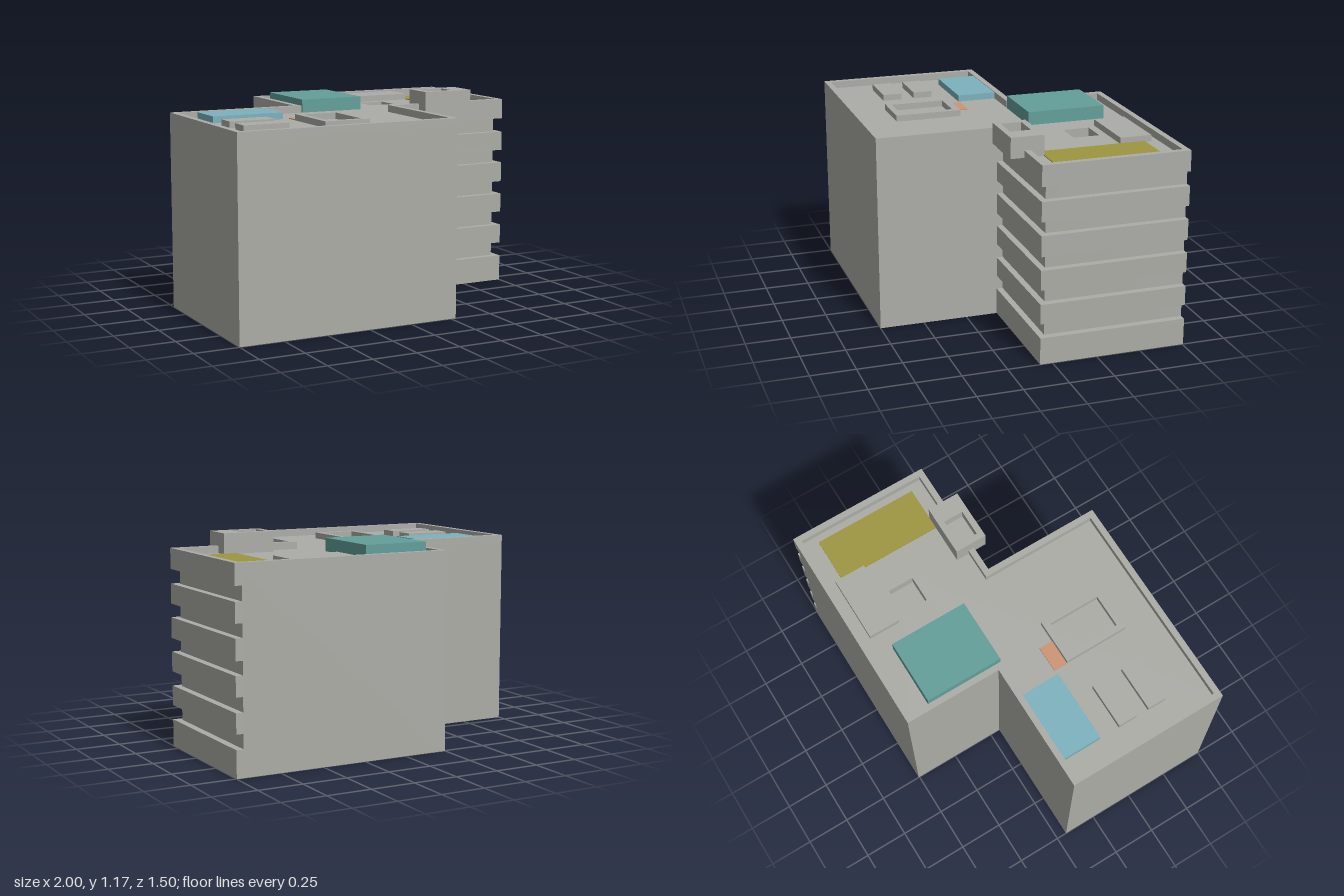
import * as THREE from 'three';

const ROOF = 1.06, TOP = 1.1;

const material = (name, color) => {
  const m = new THREE.MeshStandardMaterial({ color });
  m.name = name;
  return m;
};

// Plan points are [x, z]; prisms rise from y0 to y1, with optional holes.
const toPoints = (plan) => plan.map(([x, z]) => new THREE.Vector2(x, -z));
const rect = (x0, x1, z0, z1) => [[x0, z0], [x0, z1], [x1, z1], [x1, z0]];

function prism(plan, y0, y1, holes = []) {
  const shape = new THREE.Shape(toPoints(plan));
  holes.forEach((h) => shape.holes.push(new THREE.Path(toPoints(h))));
  const geo = new THREE.ExtrudeGeometry(shape, { depth: y1 - y0, bevelEnabled: false });
  geo.rotateX(-Math.PI / 2);
  geo.translate(0, y0, 0);
  return geo;
}

// Two overlapping wings; the inset shrinks the outline on every side.
const footprint = (inset, east = 1 - inset, south = 0.07 - inset) => [
  [-1 + inset, -0.19 + inset], [-1 + inset, 0.75 - inset],
  [0.28 - inset, 0.75 - inset], [0.28 - inset, south],
  [east, south], [east, -0.755 + inset],
  [-0.25 + inset, -0.755 + inset], [-0.25 + inset, -0.19 + inset],
];

export function createModel() {
  const concrete = material('concrete', 0xacaca7);
  const teal = material('teal', 0x639f9a);
  const blue = material('pale blue', 0x7cb2be);
  const olive = material('olive', 0x9e9641);
  const orange = material('orange', 0xcd9576);

  const model = new THREE.Group();
  model.name = 'building';
  const add = (name, geo, mat = concrete) => {
    const mesh = new THREE.Mesh(geo, mat);
    mesh.name = name;
    model.add(mesh);
  };

  // Main block with a sunken roof shaft
  const shaft = rect(0.315, 0.47, -0.455, -0.305);
  add('mainBlock', prism(footprint(0, 0.96, 0.035), 0, ROOF, [shaft]));
  add('shaftFloor', prism(shaft, 0, 1.0));

  // Projecting storey bands around the east wing
  const band = [[0.28, 0.035], [0.28, 0.07], [1, 0.07], [1, -0.755], [0.96, -0.755], [0.96, 0.035]];
  const storeys = [[0, 0.15], [0.23, 0.34], [0.42, 0.53], [0.605, 0.72], [0.795, 0.905], [0.985, ROOF]];
  storeys.forEach(([y0, y1], i) => add(`storeyBand${i + 1}`, prism(band, y0, y1)));

  // Roof parapet
  add('parapet', prism(footprint(0), ROOF, TOP, [footprint(0.035)]));

  // Coloured roof houses
  add('tealRoofHouse', prism(rect(-0.21, 0.165, -0.605, -0.155), ROOF, 1.135), teal);
  add('blueRoofHouse', prism(rect(-0.85, -0.435, -0.155, 0.07), ROOF, 1.097), blue);

  // Low grey roof units
  [[0.28, 0.66, -0.68, -0.5], [-0.85, -0.59, 0.19, 0.3], [-0.85, -0.59, 0.375, 0.485]]
    .forEach((r, i) => add(`roofUnit${i + 1}`, prism(rect(...r), ROOF, 1.095)));

  // Open curb
  add('skylightCurb', prism(rect(-0.4, -0.135, 0.15, 0.525), ROOF, 1.095,
    [rect(-0.365, -0.17, 0.19, 0.49)]));

  // Overhanging vent box with an open top
  const opening = rect(0.465, 0.62, -0.005, 0.11);
  add('ventBox', prism(rect(0.43, 0.73, -0.04, 0.145), ROOF, 1.175, [opening]));
  add('ventFloor', prism(opening, ROOF, 1.115));

  // Flat painted roof patches
  add('olivePatch', prism(rect(0.66, 0.925, -0.64, -0.04), ROOF, ROOF + 0.005), olive);
  add('orangePatch', prism(rect(-0.4, -0.25, 0.07, 0.15), ROOF, ROOF + 0.005), orange);

  return model;
}
